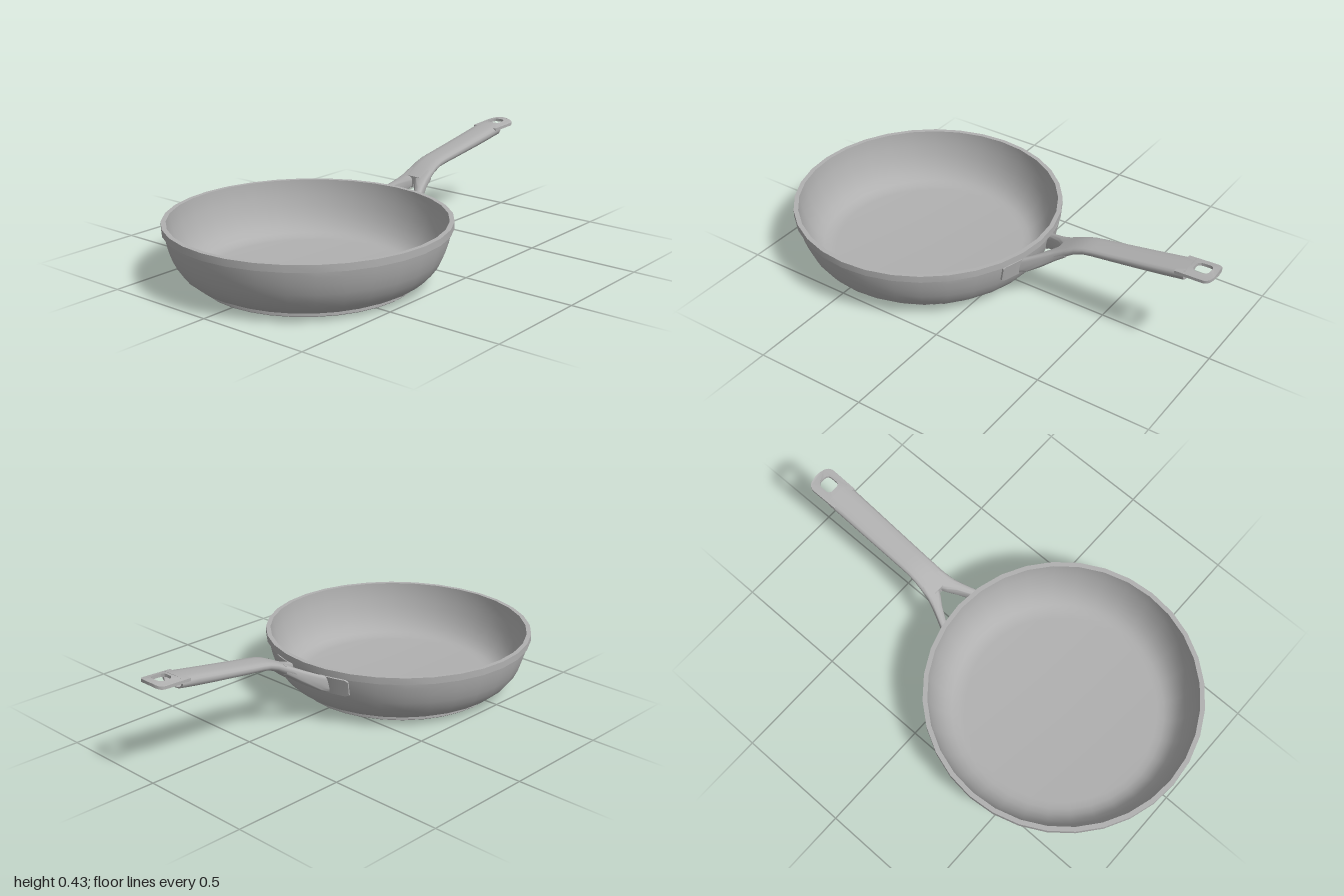
import * as THREE from 'three';
import { toCreasedNormals } from 'three/addons/utils/BufferGeometryUtils.js';

const PAN_X = -0.407;

// Solid through a row of closed rings of equal length, capped at both ends
function loft(rings, crease = 0.9) {
  const n = rings[0].length;
  const pos = rings.flat().flatMap((p) => [p.x, p.y, p.z]);
  const tris = [];
  for (let r = 0; r < rings.length - 1; r++) {
    for (let i = 0; i < n; i++) {
      const a = r * n + i, b = r * n + (i + 1) % n;
      tris.push([a, b, b + n], [a, b + n, a + n]);
    }
  }
  [0, rings.length - 1].forEach((r, k) => {
    const c = new THREE.Vector3();
    rings[r].forEach((p) => c.addScaledVector(p, 1 / n));
    const ci = pos.length / 3;
    pos.push(c.x, c.y, c.z);
    for (let i = 0; i < n; i++) {
      const a = r * n + i, b = r * n + (i + 1) % n;
      tris.push(k ? [a, b, ci] : [b, a, ci]);
    }
  });
  // turn the faces outward whichever way the rings run
  const at = (i) => new THREE.Vector3().fromArray(pos, i * 3);
  let volume = 0;
  for (const [a, b, c] of tris) volume += at(a).dot(at(b).cross(at(c)));
  if (volume < 0) tris.forEach((t) => t.reverse());
  const g = new THREE.BufferGeometry();
  g.setAttribute('position', new THREE.Float32BufferAttribute(pos, 3));
  g.setIndex(tris.flat());
  return toCreasedNormals(g, crease);
}

export function createModel() {
  const metal = new THREE.MeshStandardMaterial({ color: 0xb0b0b0 });
  metal.name = 'grey metal';
  const group = new THREE.Group();
  group.name = 'fryingPan';
  const add = (name, geometry, parent = group) => {
    const m = new THREE.Mesh(geometry, metal);
    m.name = name;
    parent.add(m);
    return m;
  };

  // Bowl: recessed base, curved wall, rim band and inside
  const profile = [
    [0, 0.006], [0.408, 0.006], [0.414, 0], [0.443, 0], [0.446, 0.003], [0.446, 0.015],
    [0.455, 0.019], [0.485, 0.034], [0.515, 0.059], [0.54, 0.092], [0.558, 0.13],
    [0.571, 0.17], [0.579, 0.205], [0.583, 0.23], [0.593, 0.23], [0.593, 0.26],
    [0.573, 0.26], [0.57, 0.228], [0.562, 0.19], [0.549, 0.145], [0.53, 0.102],
    [0.506, 0.067], [0.478, 0.042], [0.45, 0.031], [0.42, 0.028], [0, 0.028],
  ].map(([r, y]) => new THREE.Vector2(r, y));
  const bowl = add('bowl', toCreasedNormals(new THREE.LatheGeometry(profile, 32), 0.6));
  bowl.position.x = PAN_X;

  const handle = new THREE.Group();
  handle.name = 'handle';
  group.add(handle);

  // Grip: arched section with a seam underneath and a hollow far end
  const half = [
    [0.04, 0.35], [0.04, 0.06], [0.2, 0], [0.6, 0.04], [0.88, 0.2],
    [1, 0.5], [0.96, 0.78], [0.8, 0.92], [0.4, 0.99],
  ];
  const section = [...half, [0, 1], ...half.map(([z, y]) => [-z, y]).reverse()];
  const gripRing = ([x, w, y0, y1], s = 1) => section.map(([z, y]) =>
    new THREE.Vector3(x, (y0 + y1) / 2 + (y - 0.5) * (y1 - y0) * s, z * w * s));
  const stations = [
    [0.29, 0.072, 0.23, 0.284], [0.34, 0.064, 0.262, 0.311], [0.38, 0.06, 0.288, 0.33],
    [0.42, 0.058, 0.304, 0.343], [0.46, 0.058, 0.311, 0.351], [0.55, 0.059, 0.322, 0.366],
    [0.7, 0.061, 0.342, 0.391], [0.8, 0.062, 0.357, 0.408], [0.88, 0.064, 0.371, 0.421],
  ];
  const rings = stations.map((s) => gripRing(s));
  rings.push(gripRing(stations[8], 0.84), gripRing(stations[7], 0.84));
  add('grip', loft(rings), handle);

  // Hanging tab: thin arched plate with a rounded end and an oval hole
  const tab = new THREE.Shape();
  const w = 0.064, r = 0.04;
  tab.moveTo(0.84, -w + 0.002);
  tab.lineTo(1 - r, -w);
  tab.quadraticCurveTo(0.994, -w, 0.997, -w + r);
  tab.quadraticCurveTo(1.003, 0, 0.997, w - r);
  tab.quadraticCurveTo(0.994, w, 1 - r, w);
  tab.lineTo(0.84, w - 0.002);
  const hole = new THREE.Path();
  hole.moveTo(0.92, -0.031);
  hole.lineTo(0.946, -0.031);
  hole.absarc(0.946, -0.011, 0.02, -Math.PI / 2, 0, false);
  hole.absarc(0.946, 0.011, 0.02, 0, Math.PI / 2, false);
  hole.absarc(0.918, 0.011, 0.02, Math.PI / 2, Math.PI, false);
  hole.absarc(0.918, -0.011, 0.02, Math.PI, Math.PI * 1.5, false);
  tab.holes.push(hole);
  const tabGeo = new THREE.ExtrudeGeometry(tab, { depth: 0.013, bevelEnabled: false, curveSegments: 8 });
  tabGeo.rotateX(-Math.PI / 2);
  const p = tabGeo.attributes.position;
  for (let i = 0; i < p.count; i++) {
    p.setY(i, p.getY(i) + 0.408 + (p.getX(i) - 0.84) * 0.05 - 2.5 * p.getZ(i) ** 2);
  }
  add('hangingTab', toCreasedNormals(tabGeo, 0.6), handle);

  // Fork arms and the pads that fix them to the wall, one pair per side
  const arm = [ // x, inner z, outer z, bottom, top
    [0.155, 0.088, 0.128, 0.15, 0.222], [0.19, 0.077, 0.114, 0.162, 0.234],
    [0.24, 0.045, 0.091, 0.191, 0.257], [0.27, 0.02, 0.079, 0.212, 0.272],
    [0.295, 0.003, 0.071, 0.231, 0.285], [0.34, 0.003, 0.062, 0.263, 0.309],
  ];
  const power = (v, e) => Math.sign(v) * Math.abs(v) ** e;
  for (const [side, s] of [['left', -1], ['right', 1]]) {
    add(side === 'left' ? 'backForkArm' : 'frontForkArm', loft(arm.map(([x, z0, z1, y0, y1]) =>
      Array.from({ length: 20 }, (_, i) => {
        const a = (i / 20) * Math.PI * 2;
        return new THREE.Vector3(x,
          (y0 + y1) / 2 + power(Math.sin(a), 0.55) * (y1 - y0) / 2,
          s * ((z0 + z1) / 2 + power(Math.cos(a), 0.55) * (z1 - z0) / 2));
      }))), handle);

    const padRings = [];
    for (let i = 0; i <= 8; i++) {
      const a = 0.165 + i * 0.026;
      const inset = i === 8 ? 0.007 : 0;
      padRings.push([
        [0.556, 0.148 + inset], [0.576, 0.148 + inset],
        [0.59, 0.225 - inset], [0.573, 0.225 - inset],
      ].map(([rad, y]) => new THREE.Vector3(PAN_X + rad * Math.cos(a), y, s * rad * Math.sin(a))));
    }
    add(side === 'left' ? 'backPad' : 'frontPad', loft(padRings, 0.5), handle);
  }
  return group;
}
